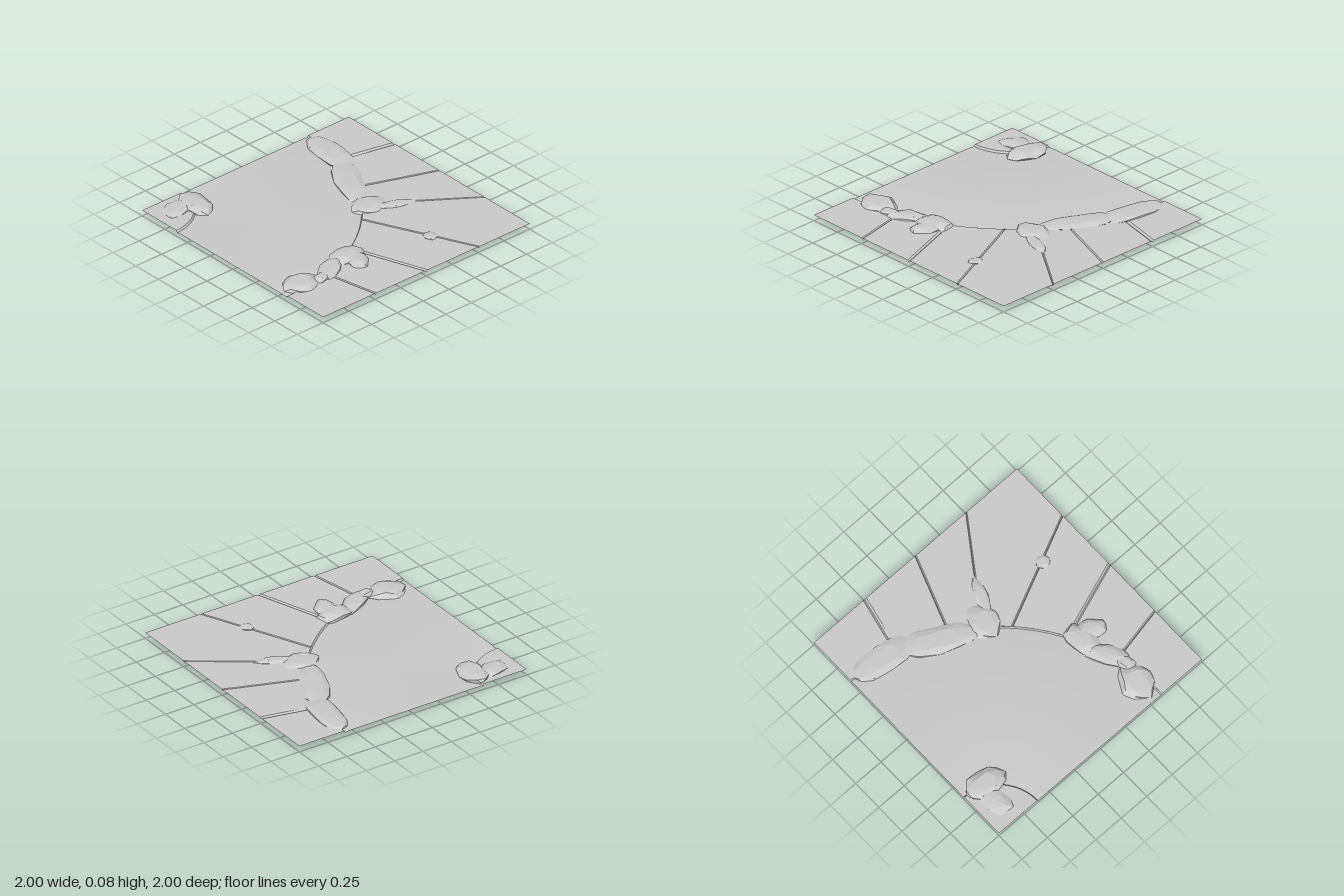
import * as THREE from 'three';
import { toCreasedNormals } from 'three/addons/utils/BufferGeometryUtils.js';

const TOP = 0.047, PATH = 0.037, GUTTER = 0.032;
const R_IN = 0.385, R_OUT = 1.605;
const CX = -1, CZ = 1; // centre of the curved path

const sheet = new THREE.MeshStandardMaterial({ color: 0xcccccc, side: THREE.DoubleSide });
const rock = new THREE.MeshStandardMaterial({ color: 0xcccccc, flatShading: true });

// Point on the outer kerb at an angle, and the angle of a point
const kerb = t => [CX + R_OUT * Math.cos(t), CZ - R_OUT * Math.sin(t)];
const angleOf = ([x, z]) => Math.atan2(CZ - z, x - CX);

// Faceted boulder: a coarse sphere, roughened by direction, squashed and turned
function boulder(name, low, high, x, z, length, width, turn) {
  const g = new THREE.IcosahedronGeometry(1, 1);
  const p = g.attributes.position;
  const v = new THREE.Vector3();
  const phase = 37 * x + 23 * z;
  const { clamp } = THREE.MathUtils;
  for (let i = 0; i < p.count; i++) {
    v.fromBufferAttribute(p, i);
    const k = 1 + 0.08 * Math.sin(5 * v.x + 3 * v.y + phase) + 0.07 * Math.sin(6 * v.z - 4 * v.y + 2 * phase);
    const a = v.x * k * length, b = v.z * k * width;
    const y = clamp(v.y * k * 1.2, -1, 1);
    p.setXYZ(i,
      clamp(x + a * Math.cos(turn) - b * Math.sin(turn), -0.98, 0.98),
      (low + high) / 2 + y * (high - low) / 2,
      clamp(z + a * Math.sin(turn) + b * Math.cos(turn), -0.98, 0.98));
  }
  g.computeVertexNormals();
  const m = new THREE.Mesh(g, rock);
  m.name = name;
  return m;
}

// Flat slab surface from plan points [x, z]
function slab(points) {
  const shape = new THREE.Shape(points.map(([x, z]) => new THREE.Vector2(x, -z)));
  const m = new THREE.Mesh(new THREE.ShapeGeometry(shape).rotateX(-Math.PI / 2), sheet);
  m.position.y = TOP;
  m.name = 'pavingSlab';
  return m;
}

// Joint between slabs: its centre line and its two edges in plan
function joint(a, b, halfWidth, onKerb) {
  const dx = b[0] - a[0], dz = b[1] - a[1];
  const s = halfWidth / Math.hypot(dx, dz);
  const edge = side => [a, b].map(p => {
    const q = [p[0] - dz * s * side, p[1] + dx * s * side];
    if (onKerb && p === a) return kerb(angleOf(q));
    return [p[0] === 1 ? 1 : q[0], p[1] === -1 ? -1 : q[1]];
  });
  return { line: [a, b], before: edge(-1), after: edge(1) };
}

// V-shaped groove filling a joint
function groove({ line, before, after }) {
  const corners = [before, line, after].flatMap((ends, row) =>
    ends.flatMap(([x, z]) => [x, row === 1 ? TOP - 0.011 : TOP, z]));
  const g = new THREE.BufferGeometry();
  g.setAttribute('position', new THREE.Float32BufferAttribute(corners, 3));
  g.setIndex([0, 2, 3, 0, 3, 1, 2, 4, 5, 2, 5, 3]);
  const m = new THREE.Mesh(toCreasedNormals(g, 0.1), sheet);
  m.name = 'slabJoint';
  return m;
}

export function createModel() {
  const group = new THREE.Group();
  group.name = 'curvedPathTile';

  // Sunken quarter-ring path with gutters and the raised inner corner
  const profile = [[0, TOP], [R_IN - 0.01, TOP], [R_IN, GUTTER], [0.44, PATH],
    [1.55, PATH], [R_OUT - 0.008, GUTTER], [R_OUT, TOP]].map(p => new THREE.Vector2(...p));
  const path = new THREE.Mesh(
    toCreasedNormals(new THREE.LatheGeometry(profile, 32, Math.PI / 2, Math.PI / 2), 0.15), sheet);
  path.name = 'path';
  path.position.set(CX, 0, CZ);
  group.add(path);

  // Joints fanning out from the kerb, and one cutting off the far corner
  const fan = [
    joint([-0.60, -0.555], [-0.50, -1], 0.016, true),
    joint([-0.22, -0.40], [0, -1], 0.008, true),
    joint([-0.02, -0.26], [0.5, -1], 0.008, true),
    joint([0.15, -0.12], [1, -0.51], 0.008, true),
    joint([0.40, 0.21], [1, 0], 0.014, true),
    joint([0.55, 0.58], [1, 0.49], 0.008, true),
  ];
  const diagonal = joint([0.5, -1], [1, -0.51], 0.006, false);
  [...fan, diagonal].forEach(j => group.add(groove(j)));

  // Slabs between neighbouring joints, following the kerb on the inside
  const outerCorners = { 0: [[-1, -1]], 3: diagonal.after, 6: [[1, 1]] };
  for (let i = 0; i <= fan.length; i++) {
    const [startIn, ...startOut] = i > 0 ? fan[i - 1].after : [kerb(Math.PI / 2)];
    const [endIn, ...endOut] = i < fan.length ? fan[i].before : [kerb(0)];
    const t0 = angleOf(startIn), t1 = angleOf(endIn);
    const arc = Array.from({ length: 9 }, (_, k) => kerb(t1 + (t0 - t1) * k / 8));
    group.add(slab([...arc, ...startOut, ...(outerCorners[i] ?? []), ...endOut]));
  }
  group.add(slab([diagonal.before[0], [1, -1], diagonal.before[1]]));

  // Boulders along the kerb: bottom, top, x, z, half length, half width, turn
  group.add(
    boulder('backBoulder', 0.022, 0.066, -0.71, -0.57, 0.27, 0.115, 0.15),
    boulder('backBoulder', 0.022, 0.064, -0.33, -0.41, 0.31, 0.11, 0.48),
    boulder('middleBoulder', 0.022, 0.066, 0.02, -0.285, 0.15, 0.115, 1.57),
    boulder('middleShard', 0.028, 0.06, 0.14, -0.44, 0.17, 0.05, 1.95),
    boulder('rightBoulder', 0.005, 0.08, 0.46, 0.30, 0.15, 0.1, 1.4),
    boulder('rightBoulder', 0.01, 0.076, 0.56, 0.28, 0.12, 0.085, 0.45),
    boulder('rightBoulder', 0.005, 0.072, 0.52, 0.51, 0.18, 0.085, 1.0),
    boulder('rightFrontBoulder', 0.01, 0.068, 0.57, 0.64, 0.1, 0.055, 1.35),
    boulder('rightFrontBoulder', 0.005, 0.075, 0.53, 0.81, 0.16, 0.125, 1.57),
    boulder('cornerBoulder', 0, 0.08, -0.82, 0.65, 0.165, 0.11, 0.15),
    boulder('cornerBoulder', 0, 0.068, -0.85, 0.79, 0.17, 0.095, 1.3),
    boulder('pebble', 0.036, 0.058, 0.65, -0.34, 0.055, 0.05, 0.3),
  );
  return group;
}
